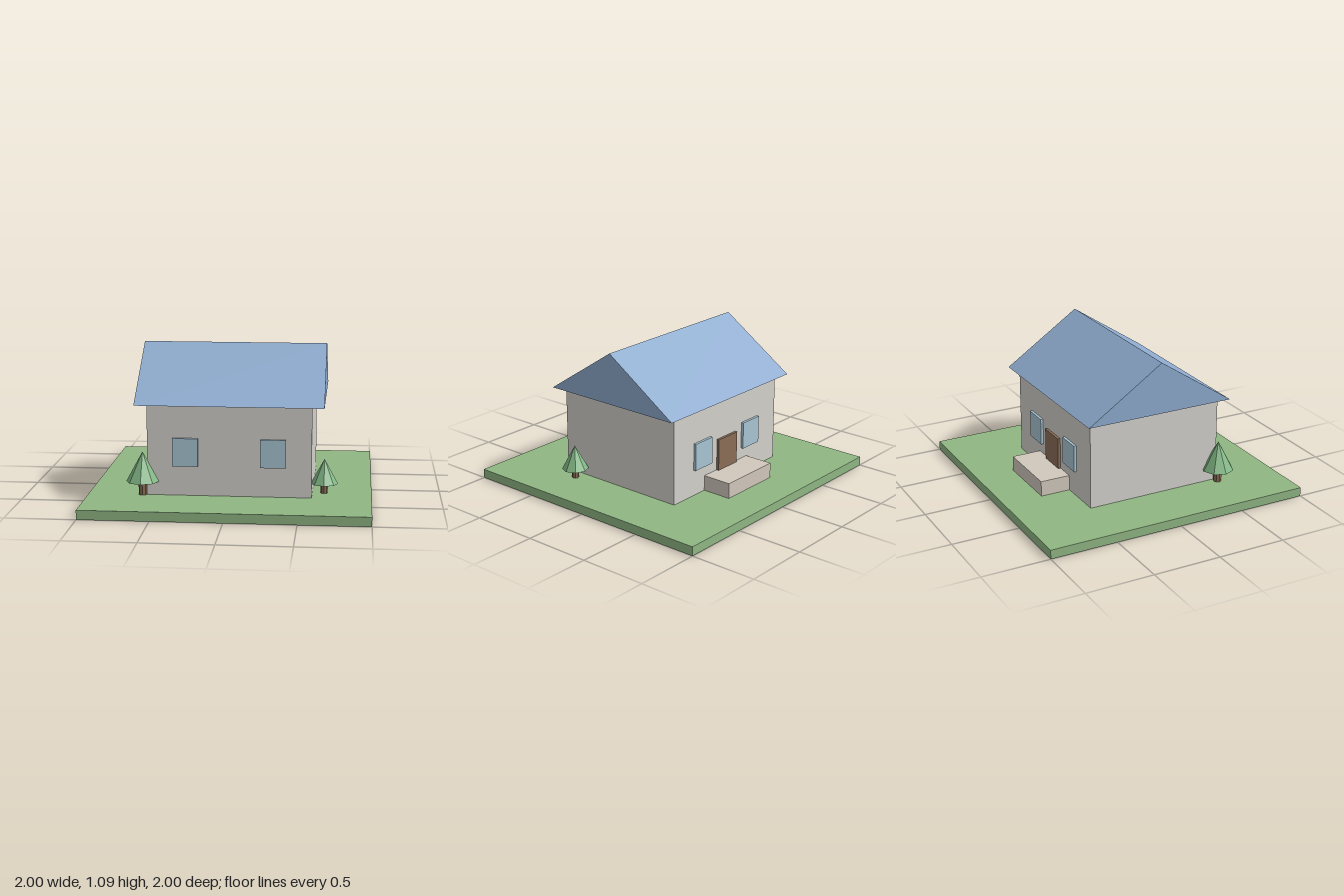
import * as THREE from 'three';

const mat = (color) => new THREE.MeshStandardMaterial({ color, flatShading: true });

const GRASS = mat(0x90b683), WALL = mat(0xd4d1cc), ROOF = mat(0x8eabce), GLASS = mat(0xa9c6d4);
const WOOD = mat(0x8a6e57), STONE = mat(0xd1c8bc), LEAF = mat(0x83b886);

// Box given by its limits along each axis
function box(name, material, [x0, x1], [y0, y1], [z0, z1]) {
  const mesh = new THREE.Mesh(new THREE.BoxGeometry(x1 - x0, y1 - y0, z1 - z0), material);
  mesh.position.set((x0 + x1) / 2, (y0 + y1) / 2, (z0 + z1) / 2);
  mesh.name = name;
  return mesh;
}

// Eight-sided cone on a short trunk
function tree(name, x, z, radius, trunkRadius, coneBase, top) {
  const group = new THREE.Group();
  group.name = name;
  const base = 0.06;
  const trunk = new THREE.Mesh(
    new THREE.CylinderGeometry(trunkRadius, trunkRadius, coneBase - base, 8), WOOD);
  trunk.position.y = (base + coneBase) / 2;
  trunk.name = 'trunk';
  const crown = new THREE.Mesh(new THREE.ConeGeometry(radius, top - coneBase, 8), LEAF);
  crown.position.y = (coneBase + top) / 2;
  crown.name = 'crown';
  group.add(trunk, crown);
  group.position.set(x, 0, z);
  return group;
}

// Triangular gable profile, extruded along x
function gableRoof() {
  const halfLength = 0.665;
  const profile = new THREE.Shape([
    new THREE.Vector2(-0.585, 0.715),
    new THREE.Vector2(0.54, 0.715),
    new THREE.Vector2(0.0225, 1.09).setX(-0.0225),
  ]);
  const geometry = new THREE.ExtrudeGeometry(profile, { depth: halfLength * 2, bevelEnabled: false });
  geometry.translate(0, 0, -halfLength);
  geometry.rotateY(Math.PI / 2); // profile x becomes -z
  const mesh = new THREE.Mesh(geometry, ROOF);
  mesh.name = 'roof';
  return mesh;
}

export function createModel() {
  const model = new THREE.Group();
  model.name = 'house';

  model.add(
    box('lawn', GRASS, [-1, 1], [0, 0.067], [-1, 1]),
    box('walls', WALL, [-0.58, 0.58], [0.06, 0.715], [-0.488, 0.535]),
    gableRoof(),
    box('door', WOOD, [-0.105, 0.105], [0.17, 0.415], [-0.507, -0.48]),
    box('doorstep', STONE, [-0.245, 0.245], [0.06, 0.18], [-0.71, -0.48]),
  );

  // Mirrored windows on the front and the back
  for (const side of [-1, 1]) {
    const span = (a, b) => (side > 0 ? [a, b] : [-b, -a]);
    model.add(
      box('frontWindow', GLASS, span(0.22, 0.4), [0.28, 0.48], [0.53, 0.556]),
      box('backWindow', GLASS, span(0.18, 0.365), [0.26, 0.46], [-0.507, -0.48]),
    );
  }

  model.add(
    tree('largeTree', -0.613, 0.533, 0.117, 0.03, 0.163, 0.378),
    tree('smallTree', 0.665, 0.38, 0.097, 0.025, 0.137, 0.315),
  );
  return model;
}
